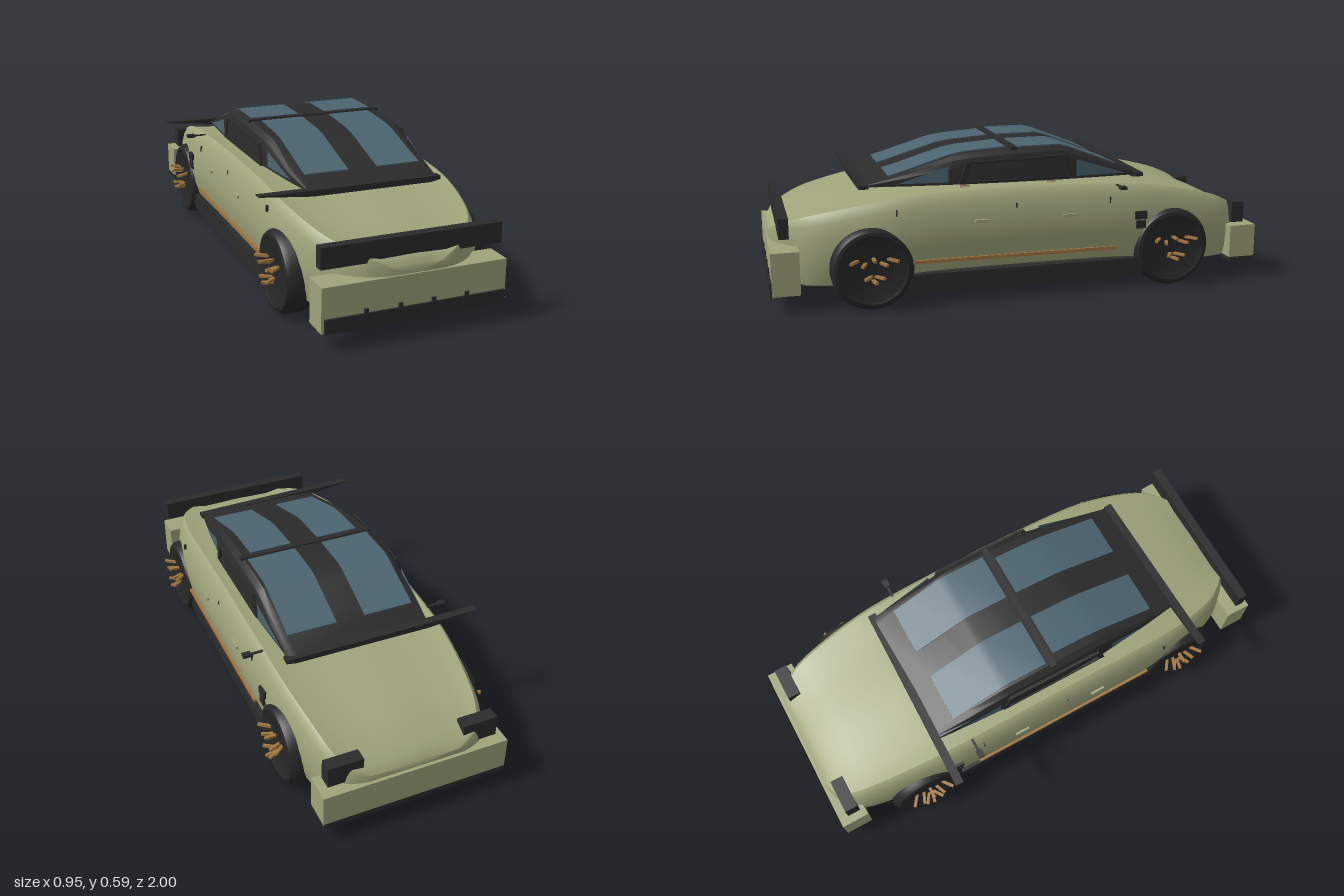
import * as THREE from 'three';
import { toCreasedNormals } from 'three/addons/utils/BufferGeometryUtils.js';

const CX = 0.025; // centre line of the car

const mat = (name, color, side = THREE.FrontSide) => {
  const m = new THREE.MeshStandardMaterial({ color, side });
  m.name = name;
  return m;
};

// Skin a list of closed rings ordered by rising z; ring points run counter-clockwise seen from +z
function loft(rings, crease) {
  const n = rings[0].length, pos = rings.flat(2), idx = [];
  for (let i = 0; i < rings.length - 1; i++) {
    for (let j = 0; j < n; j++) {
      const a = i * n + j, b = i * n + (j + 1) % n;
      idx.push(a, b, b + n, a, b + n, a + n);
    }
  }
  [0, rings.length - 1].forEach((r, end) => {
    const c = pos.length / 3, mid = [0, 0, 0];
    rings[r].forEach((p) => p.forEach((v, k) => { mid[k] += v / n; }));
    pos.push(...mid);
    for (let j = 0; j < n; j++) {
      const a = r * n + j, b = r * n + (j + 1) % n;
      idx.push(...(end ? [a, b, c] : [b, a, c]));
    }
  });
  const g = new THREE.BufferGeometry();
  g.setAttribute('position', new THREE.Float32BufferAttribute(pos, 3));
  g.setIndex(idx);
  return toCreasedNormals(g, crease);
}

// Linear lookup in a table of [z, value, ...] rows
function lookup(table, z, k) {
  let i = 0;
  while (i < table.length - 2 && z > table[i + 1][0]) i++;
  const [a, b] = [table[i], table[i + 1]];
  return THREE.MathUtils.lerp(a[k], b[k], (z - a[0]) / (b[0] - a[0]));
}

export function createModel() {
  const car = new THREE.Group();
  car.name = 'car';
  const green = mat('sage paint', 0x9fa47b);
  const black = mat('black trim', 0x2b2b2b, THREE.DoubleSide);
  const rubber = mat('tyre rubber', 0x272727);
  const glass = mat('blue glass', 0x4c6470, THREE.DoubleSide);
  const copper = mat('copper', 0xa0753f);
  const beige = mat('beige upholstery', 0xc9ab90);

  const add = (name, geo, m, x = 0, y = 0, z = 0) => {
    const mesh = new THREE.Mesh(geo, m);
    mesh.name = name;
    mesh.position.set(x, y, z);
    car.add(mesh);
    return mesh;
  };
  // Box given by its limits
  const box = (name, m, x0, x1, y0, y1, z0, z1) =>
    add(name, new THREE.BoxGeometry(x1 - x0, y1 - y0, z1 - z0), m, (x0 + x1) / 2, (y0 + y1) / 2, (z0 + z1) / 2);

  // Body shell: z, half width, underside, shoulder height
  const stations = [
    [-0.985, 0.2, 0.17, 0.25], [-0.96, 0.275, 0.11, 0.28], [-0.9, 0.325, 0.08, 0.318], [-0.8, 0.355, 0.075, 0.36],
    [-0.6, 0.385, 0.09, 0.405], [-0.4, 0.397, 0.115, 0.43], [0, 0.4, 0.12, 0.442], [0.4, 0.397, 0.115, 0.432],
    [0.6, 0.385, 0.09, 0.407], [0.8, 0.335, 0.075, 0.367], [0.9, 0.265, 0.08, 0.335], [0.96, 0.19, 0.13, 0.305],
    [0.985, 0.11, 0.19, 0.27],
  ];
  const half = [[0.5, 0], [0.82, 0], [0.93, 0.05], [0.975, 0.22], [0.995, 0.4], [1, 0.55], [0.985, 0.72],
    [0.955, 0.87], [0.915, 0.97], [0.885, 1], [0.82, 0.985], [0.65, 0.955], [0.35, 0.96], [0.12, 0.97]];
  const profile = [...half, ...half.map(([u, v]) => [-u, v]).reverse()];
  const splines = [1, 2, 3].map((k) => new THREE.SplineCurve(stations.map((s) => new THREE.Vector2(s[0], s[k]))));
  const bodyRings = [];
  for (let i = 0; i <= 48; i++) {
    const [w, lo, hi] = splines.map((s) => s.getPoint(i / 48));
    bodyRings.push(profile.map(([u, v]) => [CX + u * w.y, lo.y + v * (hi.y - lo.y), w.x]));
  }
  add('bodyShell', loft(bodyRings, 0.7), green);

  // Floor pan and side skirts
  box('floorPan', black, CX - 0.29, CX + 0.29, 0.045, 0.1, -0.72, 0.72);
  box('sideSkirts', black, CX - 0.38, CX + 0.38, 0.045, 0.125, -0.49, 0.49);
  box('skirtLip', black, CX - 0.388, CX + 0.388, 0.072, 0.125, -0.48, 0.48);

  // Front bumper, splitter and light bar
  box('frontBumper', green, -0.34, 0.38, 0.07, 0.24, 0.885, 0.992);
  box('frontSplitter', black, -0.33, 0.375, 0.068, 0.124, 0.9, 0.999);
  for (const x of [-0.173, -0.042, 0.088, 0.22]) box('splitterTab', black, x - 0.008, x + 0.008, 0.12, 0.14, 0.985, 0.998);
  box('frontLightBar', black, -0.33, 0.375, 0.29, 0.37, 0.92, 0.958);

  // Rear bumper and lamps
  box('rearBumper', green, -0.35, 0.398, 0.09, 0.225, -0.998, -0.885);
  box('rearDiffuser', black, -0.348, 0.396, 0.072, 0.095, -1, -0.89);
  for (const x of [-0.25, 0.295]) box('rearLamp', black, x - 0.07, x + 0.07, 0.232, 0.318, -0.958, -0.905);

  // Cabin shell: z, half width, roof height
  const base = 0.452;
  const roof = [[-0.5, 0.295, 0.458], [-0.34, 0.306, 0.52], [-0.2, 0.313, 0.574], [-0.16, 0.315, 0.583],
    [0.03, 0.315, 0.582], [0.22, 0.308, 0.568], [0.28, 0.302, 0.558], [0.46, 0.285, 0.503], [0.63, 0.262, 0.455]];
  const cabinRing = ([z, w, top]) => {
    const h = top - base;
    const side = [[w, base], [w * 0.99, base + h * 0.62], [w * 0.955, base + h * 0.86], [w * 0.88, top]];
    return [...side, ...side.map(([x, y]) => [-x, y]).reverse()].map(([x, y]) => [CX + x, y, z]);
  };
  add('cabinShell', loft(roof.map(cabinRing), 0.45), black);

  // Glass panes draped over windscreen, roof and rear slope
  function pane(s, inner, outer, z0, z1) {
    const zs = [z0, ...roof.map((r) => r[0]).filter((z) => z > z0 && z < z1), z1];
    const rings = zs.map((z) => {
      const y = lookup(roof, z, 2);
      const a = CX + Math.min(s * inner, s * outer), b = CX + Math.max(s * inner, s * outer);
      return [[a, y - 0.003, z], [b, y - 0.003, z], [b, y + 0.004, z], [a, y + 0.004, z]];
    });
    add('roofGlass', loft(rings, 0.5), glass);
  }
  for (const s of [-1, 1]) {
    pane(s, 0.06, 0.238, 0.055, 0.525);
    pane(s, 0.06, 0.265, -0.41, 0.01);
  }
  box('roofCrossbar', black, CX - 0.29, CX + 0.29, 0.575, 0.587, 0.02, 0.045);

  // Side glass and window surround
  for (const s of [-1, 1]) {
    const at = (z, y) => [CX + s * (lookup(roof, z, 1) + 0.003), y, z];
    const tri = (...pts) => {
      const g = new THREE.BufferGeometry();
      g.setAttribute('position', new THREE.Float32BufferAttribute((s > 0 ? pts : pts.reverse()).flat(), 3));
      g.computeVertexNormals();
      add('quarterGlass', g, glass);
    };
    tri(at(-0.22, 0.462), at(-0.44, 0.462), at(-0.22, 0.53));
    tri(at(0.5, 0.462), at(0.3, 0.462), at(0.3, 0.525));

    const frame = new THREE.Shape([[0.26, 0.455], [0.23, 0.54], [-0.18, 0.552], [-0.21, 0.455]].map((p) => new THREE.Vector2(-p[0], p[1])));
    frame.holes.push(new THREE.Path([[0.235, 0.465], [0.215, 0.53], [-0.168, 0.54], [-0.19, 0.465]].map((p) => new THREE.Vector2(-p[0], p[1]))));
    const f = add('windowSurround', new THREE.ExtrudeGeometry(frame, { depth: 0.012, bevelEnabled: false }), black, CX + s * 0.312 - 0.006);
    f.rotation.y = Math.PI / 2;
  }

  // Long tapered blades at the foot of the windscreen and the rear slope
  function blade(name, x0, x1, z, turn) {
    const pts = [[x0, 0.466], [x0 + 0.21, 0.443], [x1 - 0.04, 0.438], [x1, 0.445], [x1, 0.46], [x0, 0.469]];
    const g = new THREE.ExtrudeGeometry(new THREE.Shape(pts.map((p) => new THREE.Vector2(...p))), { depth: 0.034, bevelEnabled: false });
    add(name, g.translate(0, 0, -0.017), black, 0, 0, z).rotation.y = turn;
  }
  blade('frontBlade', -0.44, 0.295, 0.63, 0.018);
  blade('rearBlade', -0.475, 0.335, -0.5, -0.018);

  // Seat tops showing under the cabin
  for (const x of [-0.135, 0.18]) for (const z of [0.22, -0.14]) box('headrest', beige, x - 0.08, x + 0.08, 0.38, 0.468, z - 0.02, z + 0.02);

  // Wheels: rounded tyre with protruding copper spokes
  const tyreProfile = [[0, -0.052], [0.125, -0.052], [0.135, -0.0575], [0.148, -0.054], [0.16, -0.035],
    [0.16, 0.035], [0.148, 0.054], [0.135, 0.0575], [0.125, 0.052], [0, 0.052]].map((p) => new THREE.Vector2(...p));
  const tyre = toCreasedNormals(new THREE.LatheGeometry(tyreProfile, 40).rotateZ(Math.PI / 2), 0.6);
  const spokes = [[0.035, -0.09, 0.5], [0.035, 0.09, -0.5], [0.022, -0.045, 0.3], [0.022, 0.045, -0.3],
    [0.04, 0, 0], [-0.03, -0.025, 0.45], [-0.03, 0.025, -0.45], [-0.045, 0, 0.15]];
  for (const s of [-1, 1]) {
    for (const z of [0.615, -0.612]) {
      add('tyre', tyre, rubber, CX + s * 0.3465, 0.16, z);
      for (const [dy, dz, turn] of spokes) {
        const bar = box('wheelSpoke', copper, -0.03, 0.03, -0.005, 0.005, -0.006, 0.006);
        bar.position.set(CX + s * 0.415, 0.165 + dy, z + dz * 0.8);
        bar.rotation.y = s * turn * 1.3;
      }
    }

    // Sill strip, vent, mirror and door handles
    const flank = (name, m, x0, x1, ...r) => box(name, m, CX + Math.min(s * x0, s * x1), CX + Math.max(s * x0, s * x1), ...r);
    flank('sillStrip', copper, 0.37, 0.397, 0.17, 0.183, -0.37, 0.46);
    flank('sideVentUpper', black, 0.37, 0.402, 0.288, 0.32, -0.495, -0.445);
    flank('sideVentLower', black, 0.37, 0.402, 0.25, 0.283, -0.49, -0.45);
    flank('mirrorArm', black, 0.35, 0.41, 0.424, 0.429, -0.383, -0.373);
    flank('mirror', black, 0.405, 0.438, 0.421, 0.433, -0.39, -0.365);
    for (const z of [0.19, -0.17]) flank('doorHandle', green, 0.385, 0.405, 0.318, 0.33, z - 0.03, z + 0.03);
    for (const z of [0.52, 0.05, -0.34]) flank('doorSeam', black, 0.38, 0.3905, 0.36, 0.385, z - 0.002, z + 0.002);
  }
  return car;
}
